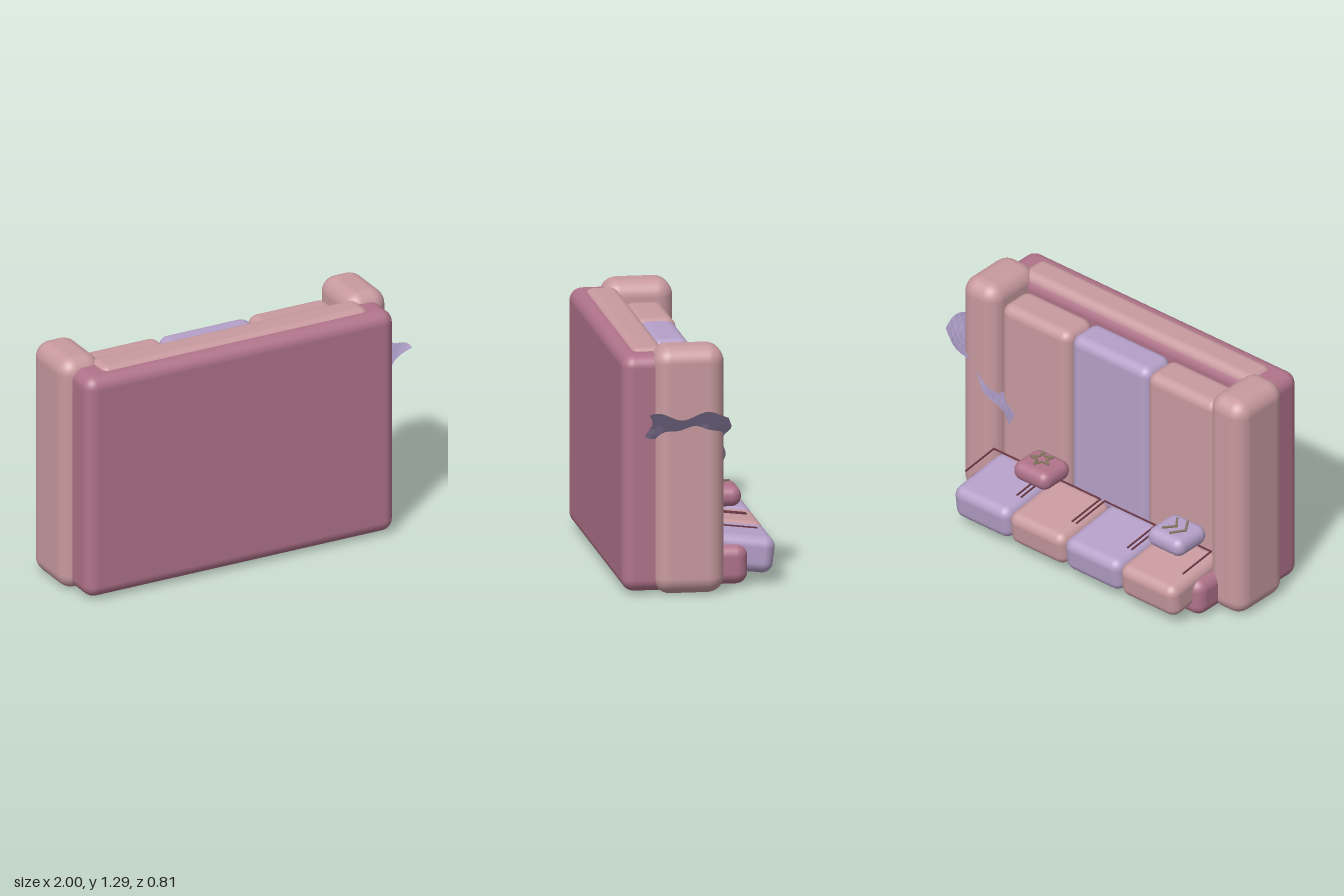
import * as THREE from 'three';
import { RoundedBoxGeometry } from 'three/addons/geometries/RoundedBoxGeometry.js';

const mat = (name, color, side = THREE.FrontSide) => {
  const m = new THREE.MeshStandardMaterial({ color, side });
  m.name = name;
  return m;
};

export function createModel() {
  const rose = mat('rose', 0xb0738a);
  const pink = mat('dusty pink', 0xc89a9f);
  const lavender = mat('lavender', 0xb5a0c8);
  const violet = mat('throw violet', 0xa292ba, THREE.DoubleSide);
  const maroon = mat('maroon piping', 0x6e3a48);
  const olive = mat('olive emblem', 0x857560);

  const sofa = new THREE.Group();
  sofa.name = 'sofa';

  // Padded block given by its minimum and maximum corners
  const block = (name, material, min, max, radius, parent = sofa) => {
    const size = max.map((v, i) => v - min[i]);
    const mesh = new THREE.Mesh(new RoundedBoxGeometry(...size, 5, radius), material);
    mesh.position.set(...max.map((v, i) => (v + min[i]) / 2));
    mesh.name = name;
    parent.add(mesh);
    return mesh;
  };

  // Thin bars joining [x, z] points at height y = 0 of the returned group
  const stroke = (name, material, points, width, closed = false) => {
    const group = new THREE.Group();
    group.name = name;
    const count = closed ? points.length : points.length - 1;
    for (let i = 0; i < count; i++) {
      const [ax, az] = points[i];
      const [bx, bz] = points[(i + 1) % points.length];
      const length = Math.hypot(bx - ax, bz - az);
      const bar = new THREE.Mesh(new THREE.BoxGeometry(length + width * 0.7, 0.007, width), material);
      bar.position.set((ax + bx) / 2, 0, (az + bz) / 2);
      bar.rotation.y = -Math.atan2(bz - az, bx - ax);
      bar.name = name + 'Bar';
      group.add(bar);
    }
    sofa.add(group);
    return group;
  };

  // Frame: the sofa lies on its back, with its underside facing the front
  block('base', rose, [-0.95, 0.015, 0.155], [0.84, 1.245, 0.41], 0.065);
  block('backrest', rose, [-0.85, 0.015, -0.255], [0.74, 0.22, 0.24], 0.06);
  block('frontRail', pink, [-0.83, 1.1, 0.17], [0.73, 1.262, 0.35], 0.05);

  // Arms
  for (const [name, x] of [['rightArm', -0.885], ['leftArm', 0.775]]) {
    block(name, pink, [x - 0.117, 0.003, -0.113], [x + 0.117, 1.29, 0.25], 0.085);
  }

  // Seat cushions
  const seats = [[-0.78, -0.31, pink, -0.053], [-0.315, 0.21, lavender, -0.042], [0.21, 0.67, pink, -0.053]];
  for (const [x0, x1, material, z] of seats) {
    block('seatCushion', material, [x0, 0.22, z], [x1, 1.19, 0.162], 0.055);
  }

  // Leaning back cushions, each with a U of piping above it
  const lean = -0.12;
  for (let i = 0; i < 4; i++) {
    const x = -0.612 + i * 0.372;
    const cushion = block('backCushion', i % 2 ? lavender : pink,
      [x - 0.188, 0.075, -0.4], [x + 0.188, 0.265, 0], 0.055);
    cushion.rotation.x = lean;
    const piping = stroke('cushionPiping', maroon,
      [[-0.172, -0.11], [-0.172, 0.11], [0.172, 0.11], [0.172, -0.11]], 0.007);
    piping.position.set(x, 0.312, -0.198);
    piping.rotation.x = lean;
  }

  // Scatter pillows
  block('chevronPillow', lavender, [-0.745, 0.345, -0.29], [-0.51, 0.452, -0.06], 0.05);
  block('starPillow', rose, [0.17, 0.348, -0.275], [0.405, 0.455, -0.06], 0.05);

  // Pillow emblems
  const star = [];
  for (let i = 0; i < 10; i++) {
    const r = i % 2 ? 0.027 : 0.06;
    const a = (i * Math.PI) / 5;
    star.push([r * Math.sin(a), -r * Math.cos(a)]);
  }
  stroke('starEmblem', olive, star, 0.011, true).position.set(0.287, 0.468, -0.165);
  for (const [x, h] of [[-0.7, 0.068], [-0.64, 0.055]]) {
    stroke('chevronEmblem', olive, [[0.045, -h], [0, 0], [0.045, h]], 0.012).position.set(x, 0.468, -0.19);
  }

  // Throw: a slanted sheet with rippled edges passing across the left arm
  const plane = new THREE.PlaneGeometry(1, 1, 16, 14);
  const p = plane.attributes.position;
  for (let i = 0; i < p.count; i++) {
    const u = p.getX(i) + 0.5;
    const v = p.getY(i) + 0.5;
    const z = 0.285 - 0.41 * v + 0.016 * Math.cos((2 * Math.PI * (u - 0.4)) / 0.45);
    const ripple = 0.016 * Math.cos((2 * Math.PI * (z + 0.02)) / 0.29);
    const puff = 0.007 * Math.sin(u * 9 + v * 11);
    p.setXYZ(i, 0.98 - 0.43 * u + ripple - puff, 0.955 - 0.4 * u + ripple + puff, z);
  }
  const cloth = plane.toNonIndexed();
  cloth.computeVertexNormals();
  const throwMesh = new THREE.Mesh(cloth, violet);
  throwMesh.name = 'throwBlanket';
  sofa.add(throwMesh);

  return sofa;
}
